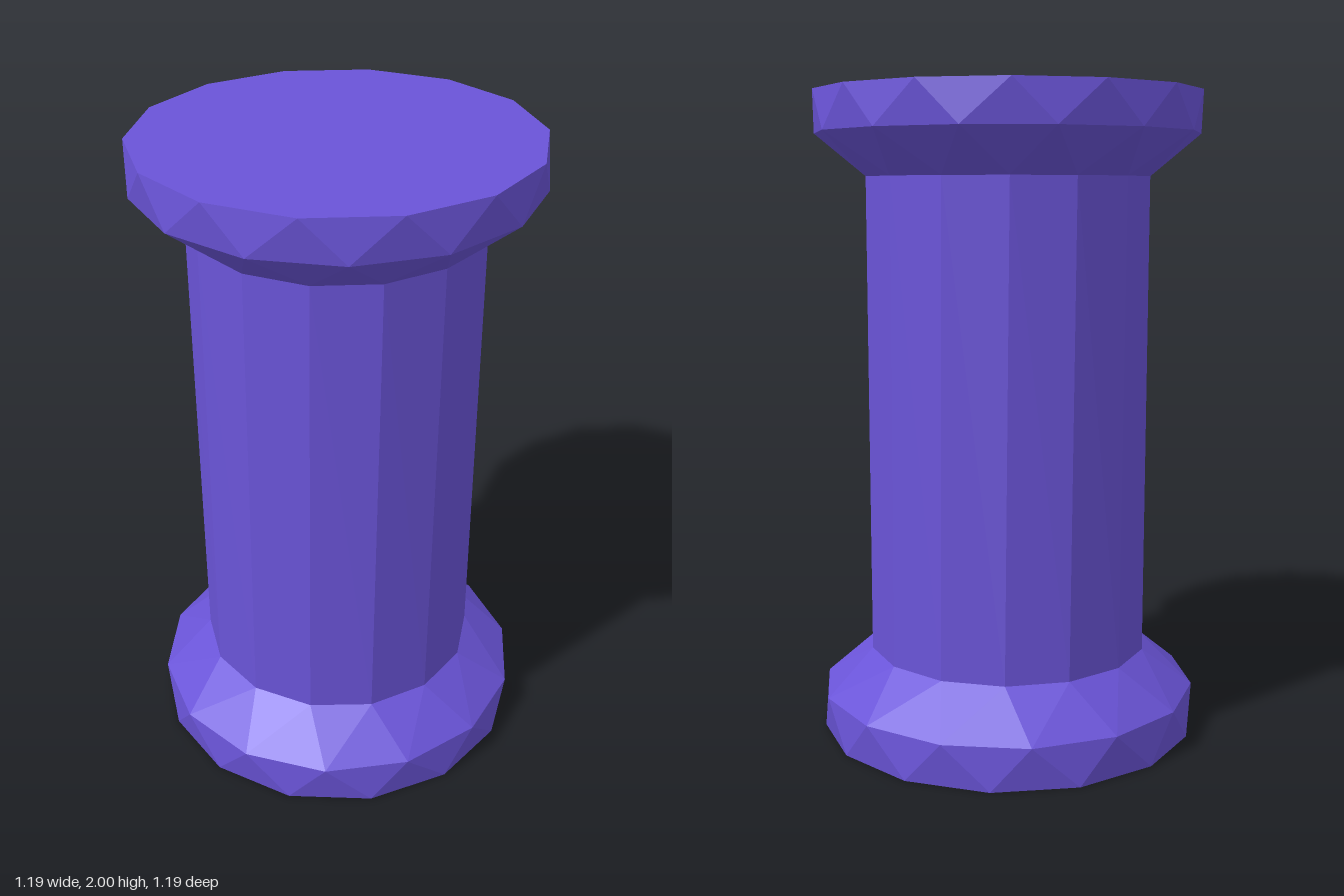
import * as THREE from 'three';

const SIDES = 14;
const STEP = (Math.PI * 2) / SIDES;

// Faceted turned part; each ring is [radius, height, twist in facet widths]
function turned(name, rings, material) {
  const points = rings.map(([r, y]) => new THREE.Vector2(r, y));
  const geometry = new THREE.LatheGeometry(points, SIDES);
  const pos = geometry.attributes.position;
  for (let i = 0; i < pos.count; i++) {
    const [r, y, twist] = rings[i % rings.length];
    const angle = (Math.floor(i / rings.length) + twist) * STEP;
    pos.setXYZ(i, r * Math.sin(angle), y, r * Math.cos(angle));
  }
  geometry.computeVertexNormals();
  const mesh = new THREE.Mesh(geometry, material);
  mesh.name = name;
  return mesh;
}

export function createModel() {
  const group = new THREE.Group();
  group.name = 'spool';
  const purple = new THREE.MeshStandardMaterial({ color: 0x6a54d8, flatShading: true });

  // Lower flange: flat underside, upright rim, bevel up to the shaft
  group.add(turned('bottomFlange', [
    [0, 0, 0.1], [0.592, 0, 0.1], [0.595, 0.133, 0.55], [0.44, 0.262, 1.25],
  ], purple));

  // Slightly twisted shaft
  group.add(turned('shaft', [[0.44, 0.262, 1.25], [0.44, 1.745, 1.32]], purple));

  // Upper flange: bevel out, upright rim, flat top
  group.add(turned('topFlange', [
    [0.44, 1.745, 1.32], [0.595, 1.875, 1.8], [0.595, 2, 2.33], [0, 2, 2.33],
  ], purple));

  return group;
}
